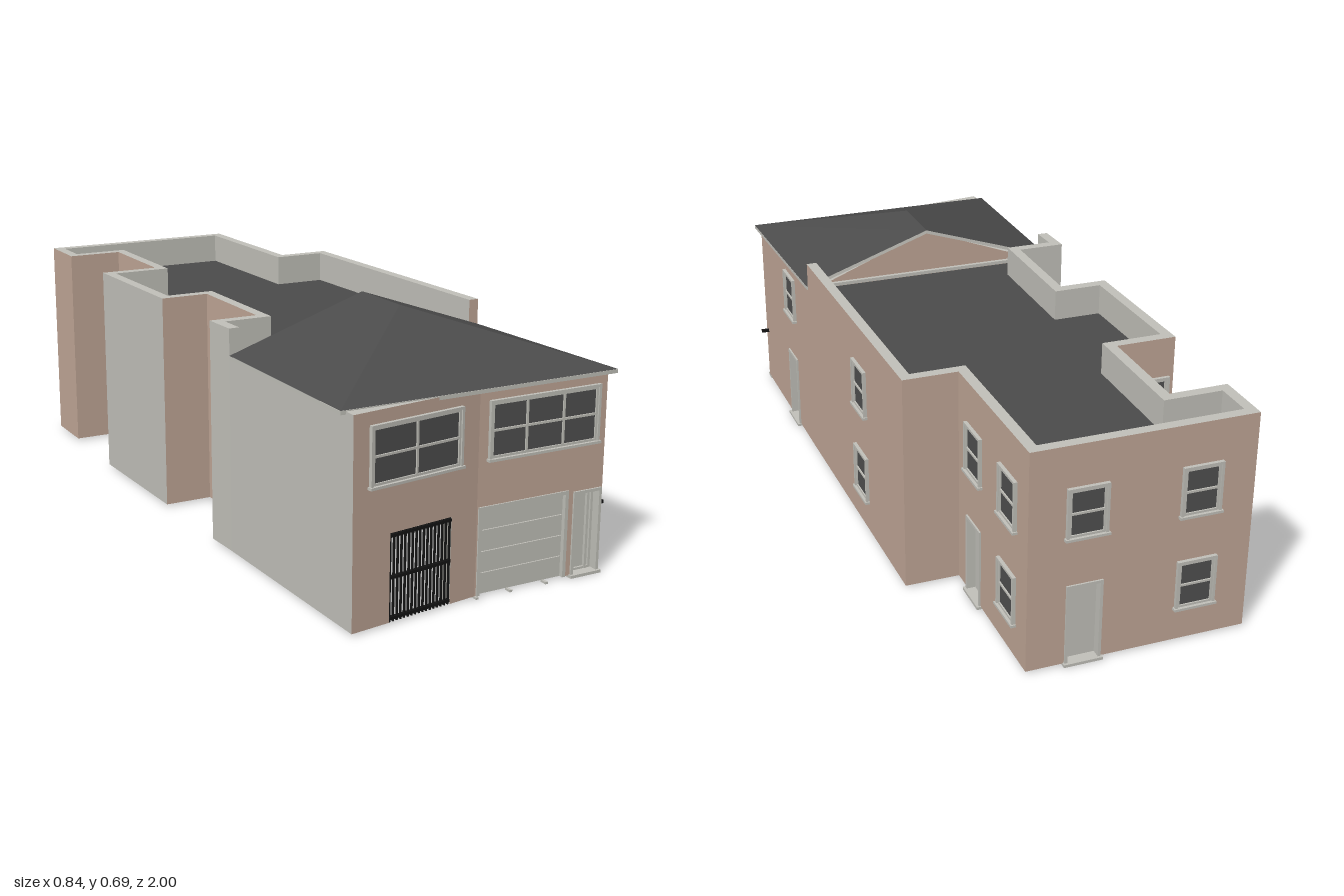
import * as THREE from 'three';

const mat = (name, color, side = THREE.FrontSide) => {
  const m = new THREE.MeshStandardMaterial({ color, side });
  m.name = name;
  return m;
};

export function createModel() {
  const model = new THREE.Group();
  model.name = 'house';
  const tan = mat('tan stucco', 0xc2a898, THREE.DoubleSide);
  const grey = mat('pale grey', 0xc3c2bb, THREE.DoubleSide);
  const dark = mat('roof charcoal', 0x4c4c4c, THREE.DoubleSide);
  const glass = mat('window glass', 0x505050);
  const black = mat('black iron', 0x141414);

  const add = (parent, name, geo, m, x = 0, y = 0, z = 0) => {
    const mesh = new THREE.Mesh(geo, m);
    mesh.name = name;
    mesh.position.set(x, y, z);
    parent.add(mesh);
    return mesh;
  };
  // Box given by its extents in x and y, and its depth range in z
  const slab = (parent, name, m, x0, x1, y0, y1, z0, z1) =>
    add(parent, name, new THREE.BoxGeometry(x1 - x0, y1 - y0, z1 - z0), m,
      (x0 + x1) / 2, (y0 + y1) / 2, (z0 + z1) / 2);
  const shapeOf = pts => new THREE.Shape(pts.map(p => new THREE.Vector2(p[0], p[1])));

  // Footprint, running from the front left corner: [x, z, wall height, wall colour]
  const T = 0.03, BASE = 0.006, LOW = 0.553, HIGH = 0.63, DECK = 0.54;
  const plan = [
    [-0.39, 0.988, LOW, tan], [0, 0.935, LOW, tan], [0.395, 0.935, LOW, tan],
    [0.385, 0.36, HIGH, tan], [0.365, -0.515, HIGH, tan], [0.21, -0.515, HIGH, tan],
    [0.205, -0.99, HIGH, tan], [-0.41, -0.99, HIGH, tan], [-0.41, -0.82, HIGH, tan],
    [-0.245, -0.82, HIGH, tan], [-0.245, -0.51, HIGH, tan], [-0.42, -0.51, HIGH, grey],
    [-0.41, -0.07, HIGH, tan], [-0.27, -0.07, HIGH, tan], [-0.27, 0.25, HIGH, grey],
    [-0.41, 0.25, HIGH, grey], [-0.405, 0.36, LOW, grey],
  ];
  const n = plan.length;
  const edges = plan.map((a, i) => {
    const b = plan[(i + 1) % n];
    const dx = b[0] - a[0], dz = b[1] - a[1], L = Math.hypot(dx, dz);
    return { a, b, L, d: [dx / L, dz / L], out: [-dz / L, dx / L], doors: [] };
  });
  // Inner corners, mitred by the wall thickness
  const inner = plan.map((p, i) => {
    const m = edges[(i + n - 1) % n].out, o = edges[i].out;
    const k = T / (1 + m[0] * o[0] + m[1] * o[1]);
    return [p[0] - k * (m[0] + o[0]), p[1] - k * (m[1] + o[1])];
  });
  // Distance along a wall for a world x (cross walls) or world z (side walls)
  const along = (e, w) => {
    const k = Math.abs(e.d[0]) > Math.abs(e.d[1]) ? 0 : 1;
    return (w - e.a[k]) / (e.b[k] - e.a[k]) * e.L;
  };
  edges.forEach((e, i) => {
    e.group = new THREE.Group();
    e.group.name = 'wall' + (i + 1);
    e.group.position.set(e.a[0], 0, e.a[1]);
    e.group.rotation.y = Math.atan2(-e.d[1], e.d[0]);
    model.add(e.group);
  });

  // Rectangular trim ring around an opening
  const frame = (g, name, x0, x1, y0, y1, w, z0, z1, bottom = true) => {
    slab(g, name, grey, x0, x0 + w, y0, y1, z0, z1);
    slab(g, name, grey, x1 - w, x1, y0, y1, z0, z1);
    slab(g, name, grey, x0 + w, x1 - w, y1 - w, y1, z0, z1);
    if (bottom) slab(g, name, grey, x0 + w, x1 - w, y0, y0 + w, z0, z1);
  };
  const windowAt = (i, w, width, y0, y1, panes = 1) => {
    const e = edges[i], c = along(e, w), x0 = c - width / 2, x1 = c + width / 2;
    const g = new THREE.Group();
    g.name = 'window';
    e.group.add(g);
    slab(g, 'windowGlass', glass, x0 + 0.005, x1 - 0.005, y0 + 0.005, y1 - 0.005, -0.002, 0.002);
    frame(g, 'windowFrame', x0, x1, y0, y1, 0.007, 0, 0.01);
    frame(g, 'windowSash', x0 + 0.007, x1 - 0.007, y0 + 0.007, y1 - 0.007, 0.006, 0, 0.006);
    slab(g, 'windowSill', grey, x0 - 0.004, x1 + 0.004, y0, y0 + 0.007, 0, 0.014);
    const mid = (y0 + y1) / 2;
    slab(g, 'meetingRail', grey, x0 + 0.01, x1 - 0.01, mid - 0.003, mid + 0.003, 0, 0.006);
    for (let k = 1; k < panes; k++) {
      const x = x0 + width * k / panes;
      slab(g, 'mullion', grey, x - 0.003, x + 0.003, y0 + 0.01, y1 - 0.01, 0, 0.006);
    }
  };
  const doorAt = (i, w, width = 0.1) => {
    const e = edges[i], c = along(e, w), x0 = c - width / 2, x1 = c + width / 2;
    e.doors.push([x0 + 0.005, x1 - 0.005, 0.232]);
    slab(e.group, 'door', grey, x0 + 0.005, x1 - 0.005, BASE, 0.232, -0.026, -0.02);
    frame(e.group, 'doorFrame', x0, x1, BASE, 0.237, 0.008, -0.026, 0.005, false);
    slab(e.group, 'doorStep', grey, x0 - 0.004, x1 + 0.004, 0, 0.008, -0.026, 0.012);
  };

  // Windows and side doors
  const UP = [0.37, 0.515], DOWN = [0.098, 0.243];
  windowAt(0, -0.2, 0.288, 0.362, 0.52, 2);
  windowAt(1, 0.199, 0.342, 0.362, 0.52, 3);
  [[2, 0.575], [3, -0.15], [5, -0.63], [5, -0.865], [6, 0.05], [6, -0.26],
    [9, -0.66], [10, -0.35], [13, 0.09]].forEach(([i, w]) => windowAt(i, w, 0.112, ...UP));
  [[3, -0.15], [5, -0.865], [6, -0.26], [9, -0.66], [10, -0.35], [13, 0.09]]
    .forEach(([i, w]) => windowAt(i, w, 0.112, ...DOWN));
  doorAt(2, 0.575);
  doorAt(5, -0.63);
  doorAt(6, 0.05);

  // Front entrance with an inner door frame
  doorAt(1, 0.346, 0.09);
  frame(edges[1].group, 'entranceDoorFrame', 0.315, 0.377, 0.01, 0.228, 0.006, -0.02, -0.014);
  slab(edges[1].group, 'entranceMullion', grey, 0.357, 0.363, 0.01, 0.228, -0.02, -0.012);
  slab(edges[1].group, 'sideBracket', black, 0.395, 0.419, 0.18, 0.189, -0.03, -0.02);

  // Garage door of four sections
  const front = edges[1];
  front.doors.push([0.012, 0.276, 0.236]);
  slab(front.group, 'garageDoorGaps', dark, 0.012, 0.276, BASE, 0.236, -0.022, -0.014);
  for (let k = 0; k < 4; k++) {
    const y = 0.006 + k * 0.0575;
    slab(front.group, 'garageDoorSection', grey, 0.014, 0.274, y, y + 0.0555, -0.014, -0.008);
  }
  frame(front.group, 'garageFrame', 0.004, 0.284, BASE, 0.244, 0.01, -0.022, 0.004, false);
  [0.003, 0.107, 0.22].forEach(x => slab(front.group, 'garageFoot', grey, x - 0.004, x + 0.004, 0, 0.006, -0.01, 0.01));

  // Barred gate over an open passage
  const gateWall = edges[0], g0 = along(gateWall, -0.276), g1 = along(gateWall, -0.083);
  gateWall.doors.push([g0, g1, 0.238]);
  for (let k = 0; k <= 16; k++) {
    const x = g0 + 0.003 + (g1 - g0 - 0.006) * k / 16;
    slab(gateWall.group, 'gateBar', black, x - 0.002, x + 0.002, BASE, 0.238, -0.006, -0.001);
  }
  [0.016, 0.122, 0.23].forEach(y => slab(gateWall.group, 'gateRail', black, g0, g1, y - 0.004, y + 0.004, -0.008, 0.001));

  // Walls: outer face, inner face, and flat edges above and below
  const face = (x0, x1, h, doors) => {
    const pts = [[x0, BASE]];
    [...doors].sort((p, q) => p[0] - q[0]).forEach(([l, r, top]) =>
      pts.push([l, BASE], [l, top], [r, top], [r, BASE]));
    pts.push([x1, BASE], [x1, h], [x0, h]);
    return new THREE.ShapeGeometry(shapeOf(pts));
  };
  edges.forEach((e, i) => {
    const local = p => (p[0] - e.a[0]) * e.d[0] + (p[1] - e.a[1]) * e.d[1];
    const xa = local(inner[i]), xb = local(inner[(i + 1) % n]), [, , h, m] = e.a;
    add(e.group, 'wallOutside', face(0, e.L, h, e.doors), m);
    add(e.group, 'wallInside', face(xa, xb, h, i === 0 ? e.doors : []), grey, 0, 0, -T);
    const strip = new THREE.ShapeGeometry(shapeOf([[0, 0], [e.L, 0], [xb, T], [xa, T]])).rotateX(-Math.PI / 2);
    add(e.group, 'wallTop', strip, grey, 0, h, 0);
    if (e.doors.length === 0) add(e.group, 'wallBottom', strip, grey, 0, BASE, 0);
  });
  // Parapet ends where the walls step down under the hipped roof
  [[0.37, tan], [-0.39, grey]].forEach(([x, m]) =>
    add(model, 'parapetEnd', new THREE.PlaneGeometry(T, HIGH - LOW), m, x, (HIGH + LOW) / 2, 0.36));

  // Flat roof deck
  const deck = new THREE.ShapeGeometry(shapeOf(inner.map(p => [p[0], -p[1]]))).rotateX(-Math.PI / 2);
  add(model, 'flatRoof', deck, dark, 0, DECK, 0);

  // Hipped roof with a gabled rear
  const EAVE = 0.556, RIDGE = 0.69;
  const A = [-0.405, EAVE, 0.36], B = [0.388, EAVE, 0.36], C = [0.412, EAVE, 0.953], D = [-0.405, EAVE, 0.953];
  const R1 = [0, RIDGE, 0.36], R2 = [0, RIDGE, 0.555];
  const tris = (name, m, ...t) => {
    const geo = new THREE.BufferGeometry();
    geo.setAttribute('position', new THREE.Float32BufferAttribute(t.flat(), 3));
    geo.computeVertexNormals();
    return add(model, name, geo, m);
  };
  tris('hipRoof', dark, D, C, R2, C, B, R1, C, R1, R2, A, D, R2, A, R2, R1);
  const eaves = new THREE.ExtrudeGeometry(shapeOf([A, B, C, D].map(p => [p[0], -p[2]])),
    { depth: 0.01, bevelEnabled: false }).rotateX(-Math.PI / 2);
  add(model, 'eavesBoard', eaves, grey, 0, EAVE - 0.0105, 0);
  tris('gableWall', tan, [0.36, DECK, 0.372], [-0.38, DECK, 0.372], [0, RIDGE - 0.008, 0.372]);
  // Rake boards along the gable
  const drop = p => [p[0], p[1] - 0.01, p[2] - 0.001];
  [A, B].forEach(p => tris('rakeBoard', grey, p, R1, drop(R1), p, drop(R1), drop(p)));

  return model;
}
